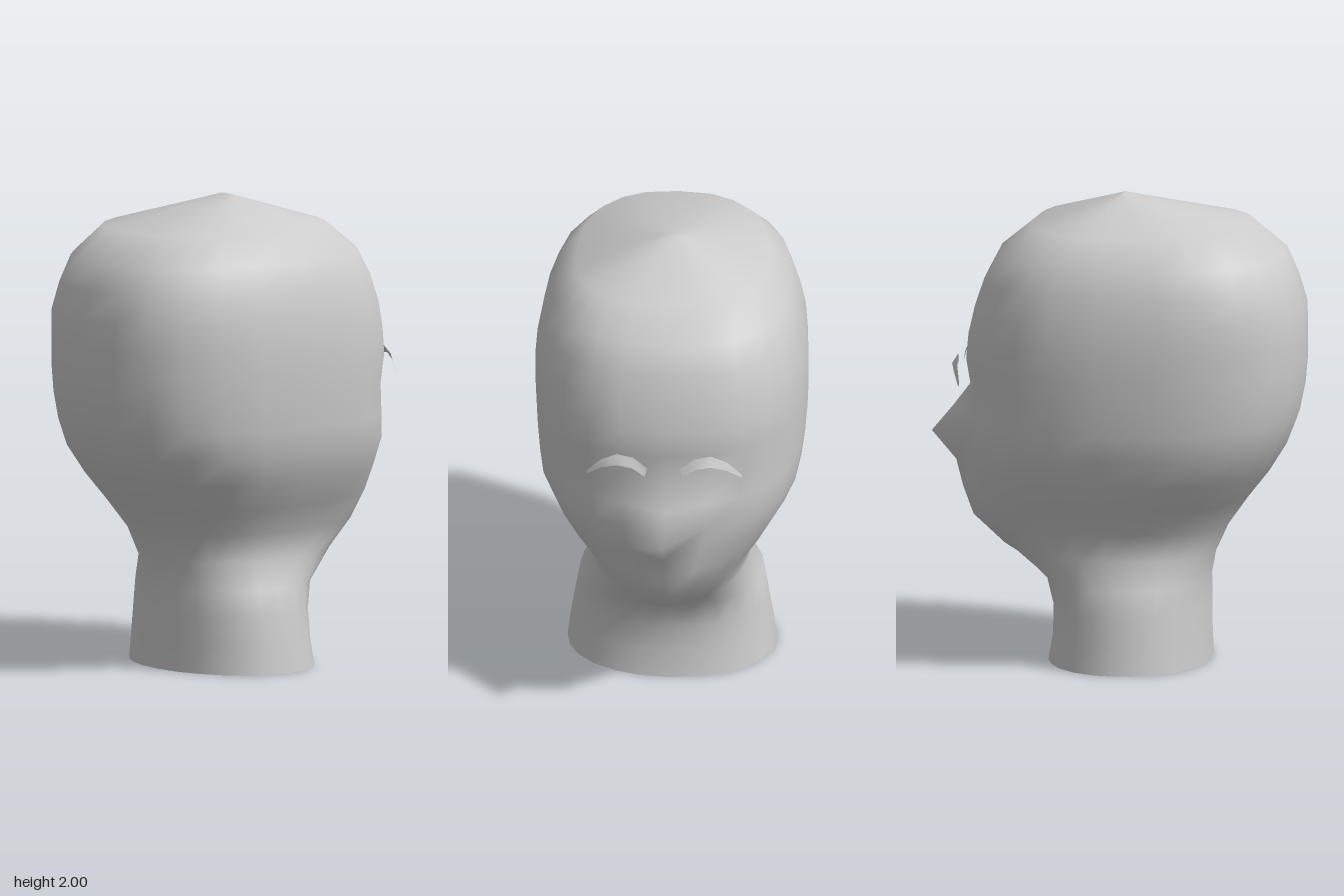
import * as THREE from 'three';

// Cross-sections of the head from the neck up:
// y, half width, back z, face z, centre-line z (chin, nose, forehead), squareness
const RINGS = [
  [0.00, 0.445, 0.40, -0.29, -0.29, 2.1],
  [0.12, 0.43, 0.395, -0.27, -0.27, 2.1],
  [0.24, 0.41, 0.395, -0.27, -0.27, 2.1],
  [0.355, 0.39, 0.395, -0.30, -0.30, 2.1],
  [0.47, 0.33, 0.42, -0.45, -0.49, 2.1],
  [0.59, 0.36, 0.475, -0.57, -0.625, 2.1],
  [0.71, 0.435, 0.56, -0.61, -0.67, 2.2],
  [0.825, 0.50, 0.65, -0.625, -0.70, 2.3],
  [0.945, 0.55, 0.725, -0.64, -0.805, 2.4],
  [1.06, 0.565, 0.77, -0.63, -0.71, 2.4],
  [1.18, 0.575, 0.795, -0.62, -0.62, 2.4],
  [1.30, 0.58, 0.805, -0.64, -0.64, 2.4],
  [1.41, 0.58, 0.805, -0.63, -0.63, 2.4],
  [1.53, 0.57, 0.80, -0.60, -0.60, 2.5],
  [1.65, 0.545, 0.765, -0.56, -0.56, 2.5],
  [1.765, 0.505, 0.715, -0.50, -0.50, 2.5],
  [1.885, 0.41, 0.575, -0.355, -0.355, 2.5],
  [2.00, 0.045, 0.03, 0.01, 0.01, 2],
];
const SIDES = 24;

function headGeometry() {
  const pos = [], idx = [];
  for (const [y, w, back, face, centre, p] of RINGS) {
    const mid = y < 0.4 ? 0.05 : y > 1.95 ? 0.02 : 0.01;
    for (let j = 0; j < SIDES; j++) {
      const t = (j / SIDES) * Math.PI * 2;
      const s = Math.sin(t), c = Math.cos(t);
      const x = w * Math.sign(s) * Math.abs(s) ** (2 / p);
      const k = Math.abs(c) ** (2 / p);
      let z = mid + (c > 0 ? back - mid : face - mid) * k;
      if (j === SIDES / 2) z = centre;
      pos.push(x, y, z);
    }
  }
  for (let i = 0; i < RINGS.length - 1; i++) {
    for (let j = 0; j < SIDES; j++) {
      const a = i * SIDES + j, b = i * SIDES + ((j + 1) % SIDES);
      idx.push(a, b, b + SIDES, a, b + SIDES, a + SIDES);
    }
  }
  // close the crown
  const top = (RINGS.length - 1) * SIDES;
  pos.push(0, 2, 0.02);
  for (let j = 0; j < SIDES; j++) idx.push(top + j, top + ((j + 1) % SIDES), top + SIDES);
  return build(pos, idx);
}

// Arched strip, tapering to its outer end
function browGeometry(side) {
  const upper = [[0.07, 1.265, -0.675], [0.13, 1.31, -0.665], [0.2, 1.32, -0.655], [0.27, 1.285, -0.645], [0.33, 1.215, -0.625]];
  const lower = [[0.08, 1.23, -0.685], [0.135, 1.27, -0.685], [0.2, 1.28, -0.68], [0.265, 1.255, -0.66], [0.33, 1.205, -0.63]];
  const pos = [], idx = [];
  upper.forEach((u, i) => {
    const l = lower[i];
    pos.push(side * u[0], u[1], u[2], side * l[0], l[1], l[2]);
    if (i < upper.length - 1) {
      const a = i * 2;
      if (side > 0) idx.push(a, a + 2, a + 1, a + 1, a + 2, a + 3);
      else idx.push(a, a + 1, a + 2, a + 1, a + 3, a + 2);
    }
  });
  return build(pos, idx);
}

function build(pos, idx) {
  const g = new THREE.BufferGeometry();
  g.setAttribute('position', new THREE.Float32BufferAttribute(pos, 3));
  g.setIndex(idx);
  g.computeVertexNormals();
  return g;
}

export function createModel() {
  const group = new THREE.Group();
  const grey = new THREE.MeshStandardMaterial({ color: 0xcccccc, side: THREE.DoubleSide });
  grey.name = 'light grey';

  const add = (name, geometry) => {
    const mesh = new THREE.Mesh(geometry, grey);
    mesh.name = name;
    group.add(mesh);
  };
  add('head', headGeometry());
  add('browRight', browGeometry(1));
  add('browLeft', browGeometry(-1));
  return group;
}
